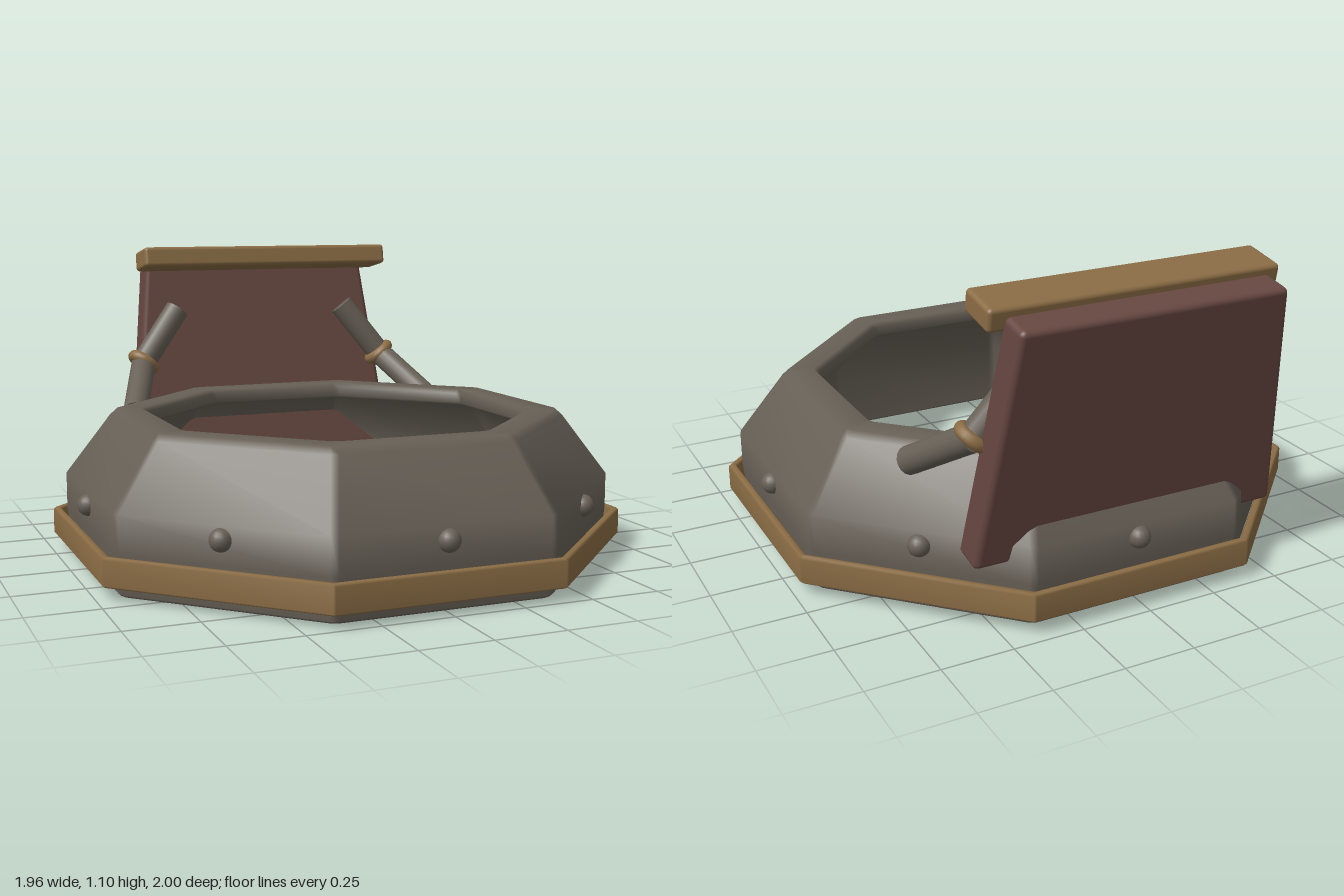
import * as THREE from 'three';
import { mergeVertices } from 'three/addons/utils/BufferGeometryUtils.js';
import { RoundedBoxGeometry } from 'three/addons/geometries/RoundedBoxGeometry.js';

const material = (name, color) => {
  const m = new THREE.MeshStandardMaterial({ color });
  m.name = name;
  return m;
};

const CENTRE_Z = 0.016;
const TILT = -0.175;

// Closed eight-sided ring with softened corners; the profile is given as [apothem, height]
function octagonRing(profile, corner) {
  const points = profile.map(([a, y]) => new THREE.Vector2(a, y));
  const ring = new THREE.LatheGeometry([...points, points[0]], 16);
  const position = ring.attributes.position;
  const rows = points.length + 1;
  for (let i = 0; i < position.count; i++) {
    const column = Math.floor(i / rows) % 16;
    const apothem = points[(i % rows) % points.length].x;
    const face = Math.floor(column / 2) * Math.PI / 4;
    const along = (column % 2 ? 1 : -1) * (apothem * Math.tan(Math.PI / 8) - corner);
    position.setX(i, apothem * Math.sin(face) + along * Math.cos(face));
    position.setZ(i, apothem * Math.cos(face) - along * Math.sin(face));
  }
  ring.deleteAttribute('normal');
  ring.deleteAttribute('uv');
  const geometry = mergeVertices(ring);
  geometry.computeVertexNormals();
  return geometry;
}

export function createModel() {
  const model = new THREE.Group();
  const stone = material('warm grey', 0x676056);
  const brass = material('brass', 0x8b6d45);
  const leather = material('maroon', 0x684842);

  const add = (name, geometry, mat, x = 0, y = 0, z = 0) => {
    const mesh = new THREE.Mesh(geometry, mat);
    mesh.name = name;
    mesh.position.set(x, y, z);
    model.add(mesh);
    return mesh;
  };

  // Thin-walled hollow collar with sloping shoulders
  add('collar', octagonRing([
    [0.91, 0], [0.92, 0.01], [0.935, 0.15], [0.935, 0.28], [0.78, 0.5], [0.757, 0.522],
    [0.67, 0.522], [0.655, 0.507], [0.655, 0.47], [0.665, 0.46], [0.735, 0.455],
    [0.885, 0.25], [0.875, 0.01], [0.885, 0],
  ], 0.015), stone, 0, 0, CENTRE_Z);

  // Thin band standing just clear of the collar
  add('trimBand', octagonRing([
    [0.958, 0.045], [0.974, 0.045], [0.981, 0.052], [0.981, 0.138],
    [0.974, 0.145], [0.958, 0.145], [0.952, 0.138], [0.952, 0.052],
  ], 0.005), brass, 0, 0, CENTRE_Z);

  // One rivet in the middle of each face
  const rivet = new THREE.SphereGeometry(0.039, 16, 12);
  for (let i = 0; i < 8; i++) {
    const a = (i * Math.PI) / 4;
    add('rivet', rivet, stone, 0.934 * Math.sin(a), 0.233, CENTRE_Z + 0.934 * Math.cos(a));
  }

  // Tilted back panel, narrowing towards the top
  const panel = new RoundedBoxGeometry(1, 0.83, 0.12, 3, 0.02);
  const corners = panel.attributes.position;
  for (let i = 0; i < corners.count; i++) {
    corners.setX(i, corners.getX(i) * (1.044 - 0.225 * corners.getY(i)));
  }
  panel.translate(0, 0.415, 0);
  add('backPanel', panel, leather, 0, 0.225, -0.798).rotation.x = TILT;

  // Rail in front of the panel's top edge
  add('topRail', new RoundedBoxGeometry(1.05, 0.08, 0.165, 3, 0.015), brass,
    0, 1.049, -0.797).rotation.x = TILT;

  // Bent struts, each with a ring at the elbow
  const up = new THREE.Vector3(0, 1, 0);
  const strut = (name, from, to) => {
    const direction = to.clone().sub(from);
    const rod = new THREE.CylinderGeometry(0.049, 0.049, direction.length(), 16);
    const mesh = add(name, rod, stone);
    mesh.position.copy(from).add(to).multiplyScalar(0.5);
    mesh.quaternion.setFromUnitVectors(up, direction.normalize());
    return mesh;
  };
  for (const [side, s] of [['left', 1], ['right', -1]]) {
    const foot = new THREE.Vector3(s * 0.63, 0.468, -0.505);
    const elbow = new THREE.Vector3(s * 0.525, 0.633, -0.772);
    const head = new THREE.Vector3(s * 0.368, 0.84, -0.82);
    strut(side + 'LowerStrut', foot, elbow);
    const upper = strut(side + 'UpperStrut', elbow, head);
    const ring = new THREE.TorusGeometry(0.047, 0.023, 12, 24).rotateX(Math.PI / 2);
    add(side + 'StrutRing', ring, brass, elbow.x, elbow.y, elbow.z)
      .quaternion.copy(upper.quaternion);
  }

  return model;
}
